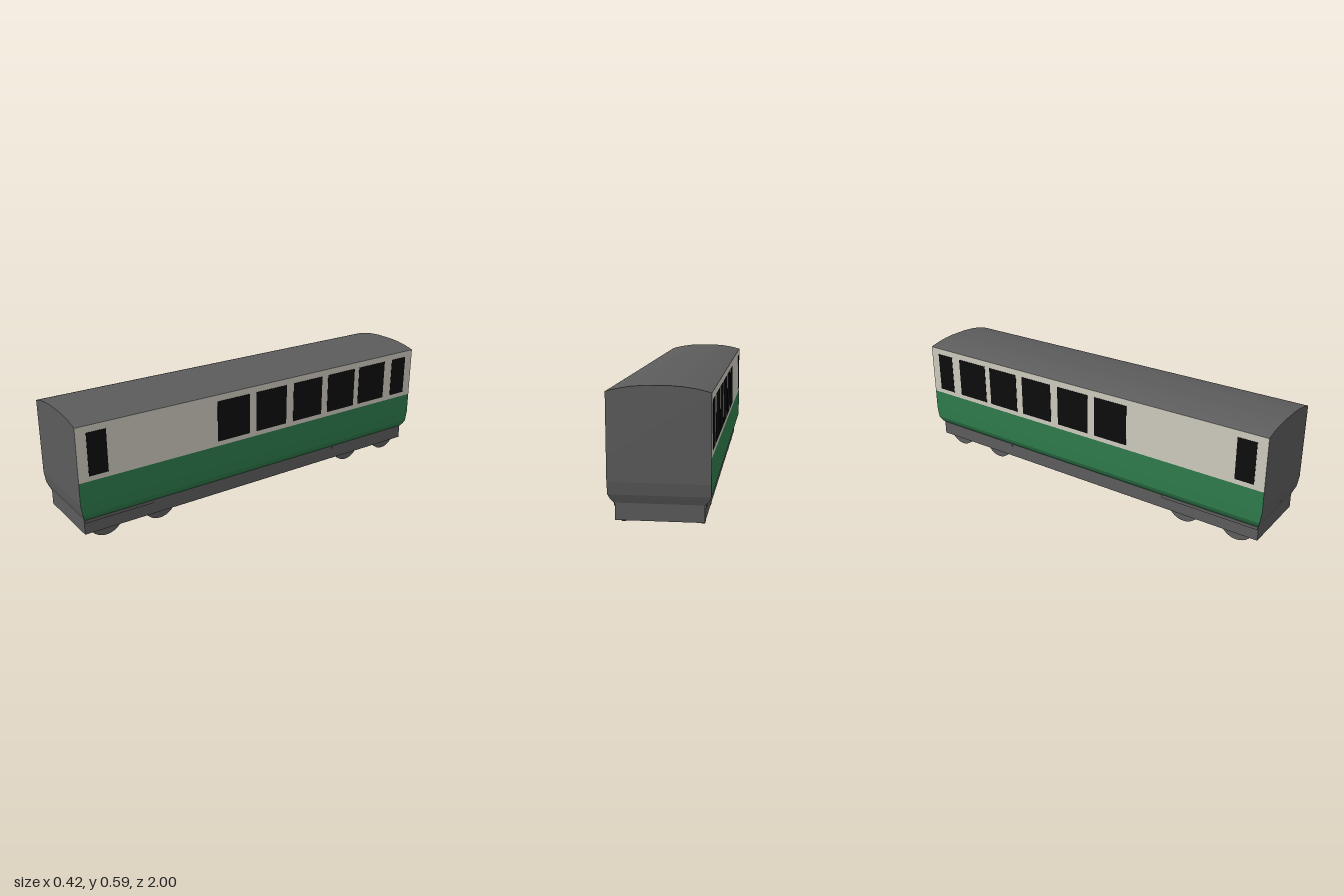
import * as THREE from 'three';

const paint = (name, color) => {
  const m = new THREE.MeshStandardMaterial({ color });
  m.name = name;
  return m;
};

export function createModel() {
  const grey = paint('grey', 0x5c5c5c);
  const green = paint('green', 0x2e7b4c);
  const cream = paint('cream', 0xcdc9be);
  const black = paint('black', 0x0c0c0c);

  const model = new THREE.Group();
  model.name = 'railwayCarriage';

  const add = (name, geometry, material, x = 0, y = 0, z = 0) => {
    const mesh = new THREE.Mesh(geometry, material);
    mesh.name = name;
    mesh.position.set(x, y, z);
    model.add(mesh);
    return mesh;
  };

  // Wall levels from bottom to top: [y, half width, half length]
  const levels = [
    [0.11, 0.185, 0.978], [0.128, 0.2, 0.985], [0.147, 0.209, 0.992],
    [0.2, 0.21, 1], [0.305, 0.21, 1], [0.564, 0.21, 1],
  ];
  const corner = ([y, x, z], sx, sz) => [x * sx, y, z * sz];

  // Stacks quads between neighbouring levels, on the sides or the ends
  const walls = (rows, ends) => {
    const pos = [];
    for (let i = 0; i < rows.length - 1; i++) {
      for (const s of [1, -1]) {
        const [p, q] = ends ? [[-s, s], [s, s]] : [[s, s], [s, -s]];
        const a = corner(rows[i], ...p), b = corner(rows[i], ...q);
        const c = corner(rows[i + 1], ...q), d = corner(rows[i + 1], ...p);
        pos.push(...a, ...b, ...c, ...a, ...c, ...d);
      }
    }
    const g = new THREE.BufferGeometry();
    g.setAttribute('position', new THREE.Float32BufferAttribute(pos, 3));
    g.computeVertexNormals();
    return g;
  };
  add('lowerSides', walls(levels.slice(0, 5), false), green);
  add('upperSides', walls(levels.slice(4), false), cream);
  add('endWalls', walls(levels, true), grey);

  // Floor closing the tapered body
  add('floor', new THREE.BoxGeometry(0.368, 0.004, 1.954), grey, 0, 0.112, 0);

  // Shallow arched roof
  const half = [[0.21, 0.564], [0.19, 0.57], [0.155, 0.578], [0.105, 0.586], [0.05, 0.59]];
  const outline = [...half, ...half.map(([x, y]) => [-x, y]).reverse()];
  const roof = new THREE.ExtrudeGeometry(
    new THREE.Shape(outline.map(([x, y]) => new THREE.Vector2(x, y))),
    { depth: 2, bevelEnabled: false });
  add('roof', roof, grey, 0, 0, -1);

  // Underframe
  add('underframe', new THREE.BoxGeometry(0.364, 0.073, 1.956), grey, 0, 0.0745, 0);

  // Windows as [front z, back z], the same on both sides
  const windows = [
    [0.95, 0.857], [0.285, 0.1], [0.06, -0.125], [-0.17, -0.355],
    [-0.395, -0.577], [-0.61, -0.795], [-0.85, -0.95],
  ];
  const wheelGeometry = new THREE.CylinderGeometry(0.087, 0.087, 0.013, 32);
  wheelGeometry.rotateZ(Math.PI / 2);

  for (const s of [1, -1]) {
    for (const [z0, z1] of windows) {
      add('window', new THREE.BoxGeometry(0.003, 0.203, z0 - z1), black,
        s * 0.21, 0.43, (z0 + z1) / 2);
    }
    // Step boards above the wheels
    for (const z of [0.727, -0.717]) {
      add('stepBoard', new THREE.BoxGeometry(0.008, 0.016, 0.5), grey, s * 0.183, 0.103, z);
    }
    for (const z of [0.87, 0.592, -0.578, -0.855]) {
      add('wheel', wheelGeometry, grey, s * 0.166, 0.087, z);
    }
  }
  return model;
}
